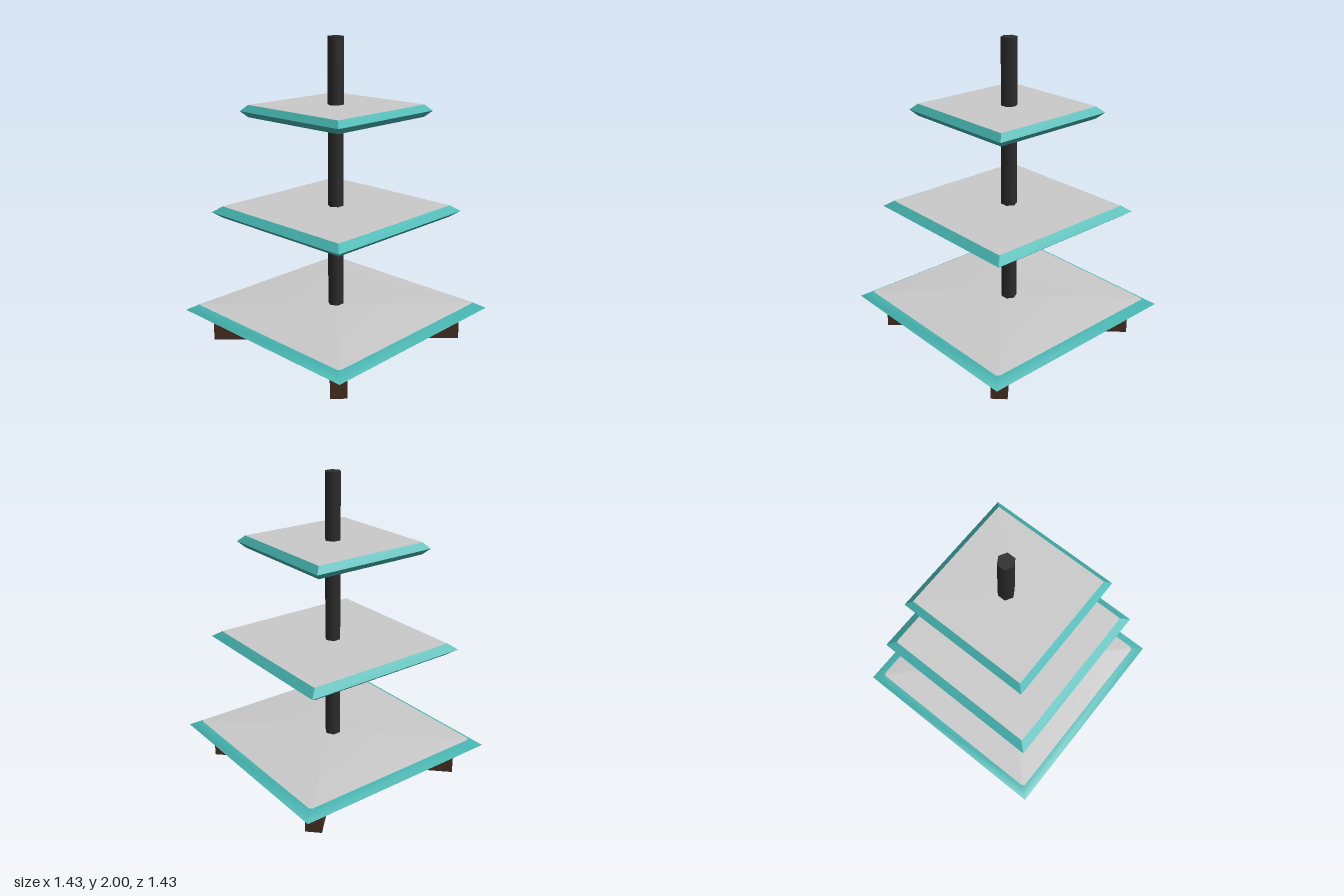
import * as THREE from 'three';
import { mergeVertices } from 'three/addons/utils/BufferGeometryUtils.js';

const mat = (name, color) => {
  const m = new THREE.MeshStandardMaterial({ color });
  m.name = name;
  return m;
};

// Square loop of eight points, each corner cut by c
function squareLoop(h, c, y) {
  const k = h - c;
  return [[h, -k], [h, k], [k, h], [-k, h], [-h, k], [-h, -k], [-k, -h], [k, -h]]
    .map(([x, z]) => new THREE.Vector3(x, y, z));
}

// One half of a shelf: flat panel (group 0) and sloping rim (group 1)
function shelfHalf(outer, inner, cut, yRim, yPanel, smooth) {
  const rim = squareLoop(outer, 0, yRim);
  const panel = squareLoop(inner, cut, yPanel);
  const centre = new THREE.Vector3(0, yPanel, 0);
  const up = yPanel > yRim;
  const pos = [];
  const tri = (a, b, c) => {
    if (a.distanceTo(b) < 1e-5 || b.distanceTo(c) < 1e-5 || c.distanceTo(a) < 1e-5) return;
    for (const p of up ? [a, c, b] : [a, b, c]) pos.push(p.x, p.y, p.z);
  };
  for (let i = 0; i < 8; i++) tri(centre, panel[i], panel[(i + 1) % 8]);
  const panelCount = pos.length / 3;
  for (let i = 0; i < 8; i++) {
    const j = (i + 1) % 8;
    tri(panel[i], rim[i], rim[j]);
    tri(panel[i], rim[j], panel[j]);
  }
  let geo = new THREE.BufferGeometry();
  geo.setAttribute('position', new THREE.Float32BufferAttribute(pos, 3));
  if (smooth) geo = mergeVertices(geo);
  geo.computeVertexNormals();
  geo.clearGroups();
  geo.addGroup(0, panelCount, 0);
  geo.addGroup(panelCount, pos.length / 3 - panelCount, 1);
  return geo;
}

export function createModel() {
  const model = new THREE.Group();
  model.name = 'tieredStand';
  const grey = mat('pale grey', 0xcacaca);
  const teal = mat('teal', 0x46b5b1);
  const black = mat('charcoal', 0x2c2c2c);
  const wood = mat('dark wood', 0x472f23);

  // Three square shelves with bevelled rims
  const shelves = [
    ['bottomShelf', 0.713, 0.652, 0.016, 0.157, 0.196, 0.234, true],
    ['middleShelf', 0.572, 0.521, 0.008, 0.842, 0.88, 0.919, false],
    ['topShelf', 0.428, 0.39, 0, 1.5, 1.539, 1.578, false],
  ];
  for (const [name, outer, inner, cut, y0, yMid, y1, smooth] of shelves) {
    const shelf = new THREE.Group();
    shelf.name = name;
    for (const [half, y] of [['Top', y1], ['Underside', y0]]) {
      const mesh = new THREE.Mesh(shelfHalf(outer, inner, cut, yMid, y, smooth), [grey, teal]);
      mesh.name = name + half;
      shelf.add(mesh);
    }
    model.add(shelf);
  }

  // Six-sided pole, set slightly off centre, corners along x
  const poleGeo = new THREE.CylinderGeometry(0.052, 0.052, 1.8, 6);
  poleGeo.rotateY(Math.PI / 6);
  const pole = new THREE.Mesh(poleGeo, black);
  pole.name = 'pole';
  pole.position.set(0.008, 1.1, -0.014);
  model.add(pole);

  // Crossed diagonal foot beams
  const feet = new THREE.Group();
  feet.name = 'crossFeet';
  for (const side of [-1, 1]) {
    const beam = new THREE.Mesh(new THREE.BoxGeometry(1.64, 0.158, 0.102), wood);
    beam.name = side < 0 ? 'footBeamA' : 'footBeamB';
    beam.position.y = 0.079;
    beam.rotation.y = side * Math.PI / 4;
    feet.add(beam);
  }
  model.add(feet);
  return model;
}
